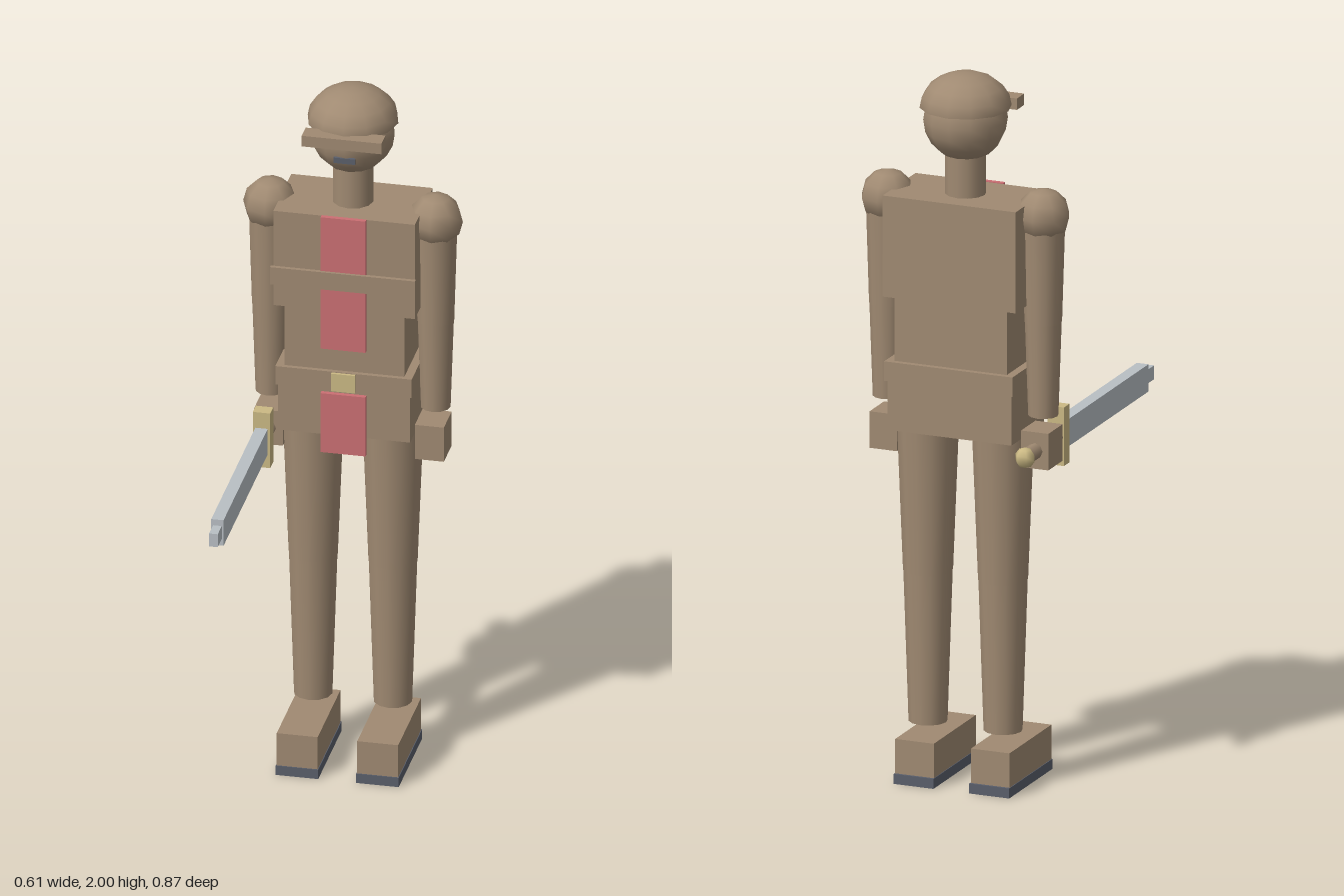
import * as THREE from 'three';

const mat = (name, color) => {
  const m = new THREE.MeshStandardMaterial({ color });
  m.name = name;
  return m;
};

export function createModel() {
  const tan = mat('tan', 0xa08a72);
  const red = mat('red', 0xcb6f73);
  const gold = mat('gold', 0xcbb984);
  const steel = mat('steel', 0xb9bfc4);
  const dark = mat('darkSlate', 0x5a5f6b);
  const model = new THREE.Group();
  model.name = 'swordsman';
  const Z = -0.3; // depth of the body axis

  const add = (parent, name, geometry, material, x = 0, y = 0, z = 0) => {
    const mesh = new THREE.Mesh(geometry, material);
    mesh.name = name;
    mesh.position.set(x, y, z);
    parent.add(mesh);
    return mesh;
  };
  // Box from its limits on each axis
  const box = (parent, name, material, [x0, x1], [y0, y1], [z0, z1]) =>
    add(parent, name, new THREE.BoxGeometry(x1 - x0, y1 - y0, z1 - z0), material,
      (x0 + x1) / 2, (y0 + y1) / 2, (z0 + z1) / 2);
  // Upright tapered limb between two heights
  const limb = (parent, name, x, yTop, yBottom, rTop, rBottom, sides = 12) =>
    add(parent, name, new THREE.CylinderGeometry(rTop, rBottom, yTop - yBottom, sides), tan,
      x, (yTop + yBottom) / 2, Z);
  const group = (name) => {
    const g = new THREE.Group();
    g.name = name;
    model.add(g);
    return g;
  };

  // Torso
  const torso = group('torso');
  box(torso, 'chest', tan, [-0.195, 0.195], [1.375, 1.66], [-0.412, -0.188]);
  box(torso, 'abdomen', tan, [-0.165, 0.165], [1.19, 1.378], [-0.402, -0.192]);
  box(torso, 'hips', tan, [-0.182, 0.182], [1.0, 1.145], [-0.41, -0.188]);
  box(torso, 'belt', tan, [-0.188, 0.188], [1.14, 1.195], [-0.418, -0.18]);
  box(torso, 'buckle', gold, [-0.033, 0.033], [1.14, 1.193], [-0.182, -0.172]);
  box(torso, 'chestStrap', tan, [-0.2, 0.2], [1.448, 1.5], [-0.177, -0.166]);
  box(torso, 'upperTabard', red, [-0.062, 0.062], [1.265, 1.662], [-0.187, -0.174]);
  box(torso, 'lowerTabard', red, [-0.062, 0.062], [0.952, 1.13], [-0.187, -0.174]);

  // Head
  const head = group('head');
  limb(head, 'neck', 0, 1.78, 1.65, 0.056, 0.056);
  add(head, 'skull', new THREE.SphereGeometry(0.115, 12, 10), tan, 0, 1.87, Z);
  const cap = add(head, 'helmet',
    new THREE.SphereGeometry(0.125, 12, 5, 0, Math.PI * 2, 0, Math.PI / 2), tan, 0, 1.904, Z);
  cap.scale.y = 0.77;
  const rim = add(head, 'helmetUnderside', new THREE.CircleGeometry(0.125, 12), tan, 0, 1.904, Z);
  rim.rotation.x = Math.PI / 2;
  box(head, 'brim', tan, [-0.11, 0.11], [1.88, 1.912], [-0.206, -0.156]);
  box(head, 'mouth', dark, [-0.03, 0.03], [1.823, 1.839], [-0.196, -0.188]);

  // Mirrored parts: eyes, arms and legs
  for (const [side, s] of [['left', 1], ['right', -1]]) {
    add(head, side + 'Eye', new THREE.BoxGeometry(0.036, 0.018, 0.009), dark,
      s * 0.042, 1.874, -0.191);

    const arm = group(side + 'Arm');
    add(arm, 'shoulder', new THREE.SphereGeometry(0.075, 8, 6), tan, s * 0.228, 1.625, Z);
    limb(arm, 'upperArm', s * 0.228, 1.625, 1.325, 0.06, 0.051);
    limb(arm, 'forearm', s * 0.228, 1.325, 1.062, 0.05, 0.041);
    add(arm, 'hand', new THREE.BoxGeometry(0.08, 0.103, 0.098), tan, s * 0.222, 0.973, -0.296);

    const leg = group(side + 'Leg');
    limb(leg, 'thigh', s * 0.11, 1.02, 0.585, 0.085, 0.068);
    limb(leg, 'shin', s * 0.11, 0.585, 0.16, 0.067, 0.053);
    add(leg, 'boot', new THREE.BoxGeometry(0.113, 0.097, 0.286), tan, s * 0.111, 0.0765, -0.247);
    add(leg, 'sole', new THREE.BoxGeometry(0.117, 0.028, 0.296), dark, s * 0.111, 0.014, -0.249);
  }

  // Sword held forward in the right hand
  const sword = group('sword');
  const grip = add(sword, 'grip', new THREE.CylinderGeometry(0.022, 0.022, 0.21, 8), tan,
    -0.223, 0.972, -0.3);
  grip.rotation.x = Math.PI / 2;
  add(sword, 'pommel', new THREE.SphereGeometry(0.029, 6, 5), gold, -0.223, 0.972, -0.413);
  box(sword, 'guard', gold, [-0.247, -0.199], [0.892, 1.057], [-0.204, -0.166]);
  box(sword, 'blade', steel, [-0.24, -0.206], [0.933, 1.01], [-0.167, 0.388]);
  box(sword, 'bladeTip', steel, [-0.235, -0.211], [0.953, 0.992], [0.388, 0.438]);

  return model;
}
